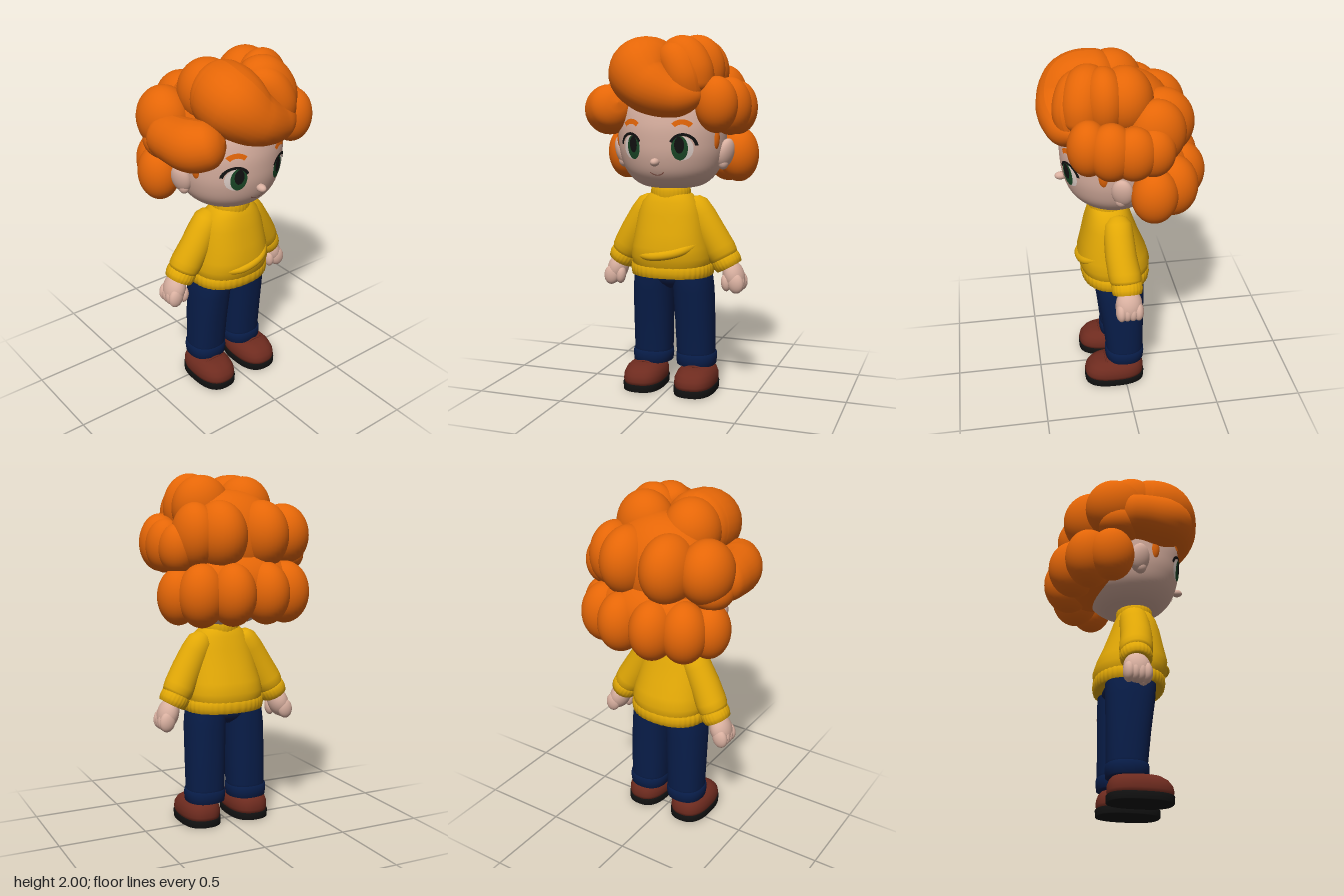
import * as THREE from 'three';

const mat = (name, color) => {
  const m = new THREE.MeshStandardMaterial({ color });
  m.name = name;
  return m;
};

export function createModel() {
  const model = new THREE.Group();
  const hair = mat('orange hair', 0xe56607);
  const skin = mat('skin', 0xd9b0a0);
  const wool = mat('yellow wool', 0xe2a806);
  const denim = mat('navy denim', 0x081d49);
  const leather = mat('brown leather', 0x6e2b1f);
  const black = mat('black', 0x121212);
  const green = mat('green iris', 0x1b4a28);
  const white = mat('eye white', 0xe6d6cf);
  const lip = mat('lip line', 0x96584a);

  const add = (name, geo, material, parent = model) => {
    const m = new THREE.Mesh(geo, material);
    m.name = name;
    parent.add(m);
    return m;
  };
  const group = name => {
    const g = new THREE.Group();
    g.name = name;
    model.add(g);
    return g;
  };
  const ball = (name, material, [x, y, z, rx, ry, rz], parent, rotY = 0, rotZ = 0) => {
    const m = add(name, new THREE.SphereGeometry(1, 32, 24), material, parent);
    m.position.set(x, y, z);
    m.scale.set(rx, ry, rz);
    m.rotation.set(0, rotY, rotZ);
  };

  // Closed skin through horizontal rings [cx, y, cz, rx, rz], listed bottom to top
  const loft = (rings, { power = 2, ripple = 0, n = 64 } = {}) => {
    const pos = [], idx = [];
    const bend = v => Math.sign(v) * Math.abs(v) ** (2 / power);
    for (const [cx, y, cz, rx, rz] of rings) {
      for (let i = 0; i < n; i++) {
        const a = i / n * Math.PI * 2, k = 1 + ripple * Math.cos(a * n / 4);
        pos.push(cx + rx * k * bend(Math.sin(a)), y, cz + rz * k * bend(Math.cos(a)));
      }
    }
    for (let j = 0; j < rings.length - 1; j++) {
      for (let i = 0; i < n; i++) {
        const a = j * n + i, b = j * n + (i + 1) % n;
        idx.push(a, b, b + n, a, b + n, a + n);
      }
    }
    const first = rings[0], last = rings[rings.length - 1], top = (rings.length - 1) * n;
    const c = rings.length * n;
    pos.push(first[0], first[1], first[2], last[0], last[1], last[2]);
    for (let i = 0; i < n; i++) {
      const k = (i + 1) % n;
      idx.push(c, k, i, c + 1, top + i, top + k);
    }
    const g = new THREE.BufferGeometry();
    g.setAttribute('position', new THREE.Float32BufferAttribute(pos, 3));
    g.setIndex(idx);
    g.computeVertexNormals();
    return g;
  };

  // Roll swept along points [x, y, z, radius], rounded at both ends
  const curl = pts => {
    const path = new THREE.CatmullRomCurve3(pts.map(p => new THREE.Vector3(p[0], p[1], p[2])));
    const radii = new THREE.SplineCurve(pts.map((p, i) => new THREE.Vector2(i, p[3])));
    const n = 48, sides = 28, g = new THREE.TubeGeometry(path, n, 1, sides);
    const p = g.attributes.position, v = new THREE.Vector3();
    for (let i = 0; i < p.count; i++) {
      const t = Math.floor(i / (sides + 1)) / n, c = path.getPointAt(t);
      const e = Math.min(1, Math.min(t, 1 - t) / 0.2);
      const r = radii.getPoint(path.getUtoTmapping(t)).y * Math.sqrt(1 - (1 - e) ** 2) + 0.0005;
      v.fromBufferAttribute(p, i).sub(c).multiplyScalar(r).add(c);
      p.setXYZ(i, v.x, v.y, v.z);
    }
    g.computeVertexNormals();
    return g;
  };

  // Head
  const head = group('head');
  const profile = new THREE.SplineCurve([[0, 1.163], [0.13, 1.169], [0.2, 1.195], [0.257, 1.255], [0.289, 1.335],
    [0.303, 1.42], [0.303, 1.53], [0.27, 1.65], [0.17, 1.75], [0, 1.79]].map(p => new THREE.Vector2(...p))).getPoints(60);
  profile[0].x = profile[60].x = 0;
  const skull = add('skull', new THREE.LatheGeometry(profile, 72), skin, head);
  skull.scale.z = 0.96;
  skull.position.z = 0.04;
  const faceZ = (x, y) => {
    const i = Math.max(1, profile.findIndex(p => p.y >= y)), a = profile[i - 1], b = profile[i];
    const r = a.x + (b.x - a.x) * (y - a.y) / (b.y - a.y);
    return 0.04 + 0.96 * Math.sqrt(Math.max(0, r * r - x * x));
  };
  // Thin painted patch laid on the curved face
  const patch = (name, material, geo, cx, cy, rx, ry, lift) => {
    const p = geo.attributes.position;
    for (let i = 0; i < p.count; i++) {
      const x = cx + p.getX(i) * rx, y = cy + p.getY(i) * ry;
      p.setXYZ(i, x, y, faceZ(x, y) + lift);
    }
    geo.computeVertexNormals();
    add(name, geo, material, head);
  };
  const disc = () => new THREE.RingGeometry(0, 1, 36, 4);
  const arc = (s, inner, from, to) =>
    new THREE.RingGeometry(inner, 1, 28, 2, s > 0 ? from : Math.PI - to, to - from);

  for (const s of [1, -1]) {
    patch('eyeWhite', white, disc(), s * 0.142, 1.4, 0.054, 0.064, 0.003);
    patch('iris', green, disc(), s * 0.13, 1.402, 0.041, 0.066, 0.005);
    patch('pupil', black, disc(), s * 0.13, 1.417, 0.024, 0.044, 0.007);
    patch('eyelash', black, arc(s, 0.79, 0.1, 2.75), s * 0.148, 1.408, 0.071, 0.073, 0.008);
    patch('eyebrow', hair, arc(s, 0.64, 0.75, 2.35), s * 0.143, 1.478, 0.072, 0.075, 0.008);
    ball('ear', skin, [s * 0.308, 1.36, 0.035, 0.038, 0.085, 0.06], head, s * -0.35, s * -0.25);
    ball('earLobe', skin, [s * 0.295, 1.31, 0.04, 0.03, 0.04, 0.035], head);
    ball('sideburn', hair, [s * 0.268, 1.45, 0.125, 0.03, 0.075, 0.035], head);
  }
  patch('mouth', lip, arc(1, 0.9, Math.PI * 1.2, Math.PI * 1.8), 0, 1.295, 0.05, 0.045, 0.004);
  ball('nose', skin, [0, 1.325, 0.33, 0.024, 0.022, 0.033], head);

  // Hair: scalp, rows of puffs and a swept fringe
  const hairdo = group('hair');
  ball('scalp', hair, [0, 1.62, -0.05, 0.32, 0.29, 0.25], hairdo);
  ball('napeHair', hair, [0, 1.4, -0.17, 0.33, 0.19, 0.21], hairdo);
  for (const s of [1, -1]) {
    ball('napePuff', hair, [s * 0.1, 1.36, -0.305, 0.125, 0.17, 0.145], hairdo);
    ball('napePuff', hair, [s * 0.25, 1.355, -0.24, 0.13, 0.172, 0.14], hairdo, s * -0.5);
    ball('napePuff', hair, [s * 0.34, 1.345, -0.13, 0.112, 0.155, 0.125], hairdo);
    ball('backPuff', hair, [s * 0.125, 1.665, -0.195, 0.145, 0.19, 0.18], hairdo);
  }
  const puffs = {
    leftSidePuff: [[0.25, 1.665, -0.15, 0.125, 0.18, 0.155], [0.335, 1.6, -0.12, 0.105, 0.135, 0.115],
      [0.365, 1.61, -0.015, 0.105, 0.145, 0.12], [0.35, 1.62, 0.1, 0.115, 0.155, 0.12],
      [0.305, 1.63, 0.21, 0.115, 0.15, 0.11]],
    rightSidePuff: [[-0.305, 1.66, -0.11, 0.145, 0.175, 0.165], [-0.33, 1.55, -0.08, 0.11, 0.1, 0.13]],
    crownPuff: [[-0.125, 1.81, 0.03, 0.16, 0.175, 0.165], [0.145, 1.81, 0, 0.165, 0.18, 0.15],
      [0.165, 1.815, 0.11, 0.155, 0.185, 0.115]],
  };
  for (const [name, list] of Object.entries(puffs)) for (const p of list) ball(name, hair, p, hairdo);
  add('crownCurl', curl([[0.02, 1.84, 0.15, 0.1], [0.11, 1.885, 0.19, 0.11],
    [0.175, 1.81, 0.22, 0.11], [0.19, 1.67, 0.22, 0.1]]), hair, hairdo);
  add('crownCurl', curl([[0.02, 1.83, 0.17, 0.09], [0.085, 1.86, 0.235, 0.1],
    [0.14, 1.77, 0.275, 0.1], [0.16, 1.64, 0.25, 0.09]]), hair, hairdo);
  add('rightSideCurl', curl([[-0.34, 1.6, -0.1, 0.12], [-0.35, 1.6, 0.05, 0.128],
    [-0.32, 1.6, 0.18, 0.138], [-0.22, 1.64, 0.3, 0.11]]), hair, hairdo);
  add('fringe', curl([[-0.11, 1.81, -0.02, 0.16], [-0.105, 1.81, 0.12, 0.185], [-0.105, 1.79, 0.23, 0.185],
    [-0.03, 1.72, 0.3, 0.148], [0.1, 1.67, 0.305, 0.11], [0.25, 1.68, 0.265, 0.075]]), hair, hairdo);

  // Sweater
  const sweater = group('sweater');
  add('torso', loft([[0, 0.7, 0.035, 0.2, 0.18], [0, 0.73, 0.037, 0.225, 0.195], [0, 0.78, 0.042, 0.232, 0.206],
    [0, 0.84, 0.052, 0.222, 0.198], [0, 0.92, 0.06, 0.205, 0.171], [0, 1.02, 0.068, 0.185, 0.142],
    [0, 1.09, 0.07, 0.158, 0.12], [0, 1.13, 0.07, 0.12, 0.1], [0, 1.15, 0.07, 0.08, 0.08]],
  { power: 2.3 }), wool, sweater);
  add('fold', curl([[0.2, 0.88, 0.12, 0.02], [0.1, 0.825, 0.22, 0.026], [-0.04, 0.795, 0.238, 0.024],
    [-0.16, 0.79, 0.19, 0.018]]), wool, sweater);
  add('hem', loft([[0, 0.668, 0.035, 0.22, 0.182], [0, 0.67, 0.035, 0.231, 0.193], [0, 0.7, 0.035, 0.236, 0.198],
    [0, 0.73, 0.035, 0.234, 0.197], [0, 0.75, 0.035, 0.215, 0.18]], { power: 2.3, ripple: 0.008, n: 160 }), wool, sweater);
  add('collar', loft([[0, 1.09, 0.07, 0.1, 0.095], [0, 1.11, 0.07, 0.113, 0.106], [0, 1.15, 0.07, 0.112, 0.105],
    [0, 1.175, 0.07, 0.106, 0.1], [0, 1.185, 0.07, 0.09, 0.085]], { ripple: 0.008, n: 120 }), wool, sweater);

  for (const s of [1, -1]) {
    // Arm, built hanging straight down and then swung outward
    const arm = group(s > 0 ? 'leftArm' : 'rightArm');
    arm.position.set(s * 0.14, 1.06, 0.035);
    arm.rotation.z = s * 0.505;
    add('sleeve', loft([[0, -0.34, -0.02, 0.075, 0.075], [0, -0.31, -0.02, 0.087, 0.09], [0, -0.27, -0.016, 0.09, 0.092],
      [0, -0.17, -0.004, 0.088, 0.088], [0, -0.06, 0, 0.083, 0.084], [0, 0.01, 0, 0.072, 0.077],
      [0, 0.045, 0, 0.045, 0.05], [0, 0.06, 0, 0.005, 0.005]]), wool, arm);
    add('cuff', loft([[0, -0.39, -0.025, 0.06, 0.065], [0, -0.388, -0.025, 0.076, 0.081], [0, -0.36, -0.025, 0.083, 0.088],
      [0, -0.33, -0.025, 0.082, 0.087], [0, -0.315, -0.025, 0.07, 0.075]], { ripple: 0.01, n: 96 }), wool, arm);

    const hand = group(s > 0 ? 'leftHand' : 'rightHand');
    ball('palm', skin, [s * 0.353, 0.67, 0.005, 0.06, 0.09, 0.074], hand, 0, s * 0.3);
    for (let i = 0; i < 4; i++) {
      ball('finger', skin, [s * 0.375, 0.635, 0.052 - i * 0.032, 0.045, 0.058, 0.031], hand, 0, s * 0.15);
    }
    ball('thumb', skin, [s * 0.318, 0.635, 0.045, 0.028, 0.05, 0.032], hand, 0, s * 0.1);

    // Trouser leg with turned-up cuff
    const leg = group(s > 0 ? 'leftLeg' : 'rightLeg');
    add('trouserLeg', loft([[s * 0.13, 0.16, -0.003, 0.104, 0.105], [s * 0.129, 0.22, -0.003, 0.11, 0.11],
      [s * 0.126, 0.4, 0.006, 0.112, 0.121], [s * 0.121, 0.58, 0.018, 0.113, 0.135],
      [s * 0.113, 0.67, 0.022, 0.11, 0.14], [s * 0.105, 0.73, 0.022, 0.1, 0.135]], { power: 2.3 }), denim, leg);
    add('trouserCuff', loft([[s * 0.132, 0.135, -0.003, 0.1, 0.1], [s * 0.132, 0.14, -0.003, 0.112, 0.112],
      [s * 0.132, 0.175, -0.003, 0.116, 0.116], [s * 0.132, 0.205, -0.003, 0.114, 0.114],
      [s * 0.132, 0.213, -0.003, 0.1, 0.102]], { power: 2.3 }), denim, leg);

    // Shoe
    const shoe = group(s > 0 ? 'leftShoe' : 'rightShoe');
    const x = s * 0.153;
    add('sole', loft([[x, 0, 0.062, 0.108, 0.17], [x, 0.002, 0.062, 0.115, 0.177], [x, 0.038, 0.062, 0.117, 0.179],
      [x, 0.042, 0.062, 0.11, 0.172]], { power: 2.6 }), black, shoe);
    add('upper', loft([[x, 0.035, 0.062, 0.108, 0.17], [x, 0.06, 0.063, 0.115, 0.176], [x, 0.09, 0.06, 0.113, 0.172],
      [x, 0.118, 0.054, 0.102, 0.156], [x, 0.138, 0.047, 0.08, 0.13], [x, 0.146, 0.035, 0.05, 0.09]],
    { power: 2.5 }), leather, shoe);
    const seam = add('shoeSeam', new THREE.TorusGeometry(0.085, 0.006, 8, 32, Math.PI), leather, shoe);
    seam.position.set(x, 0.065, 0.115);
    seam.scale.x = 1.22;
  }

  // Hips joining the trouser legs
  add('hips', loft([[0, 0.59, 0.02, 0.02, 0.07], [0, 0.62, 0.02, 0.08, 0.11], [0, 0.655, 0.022, 0.18, 0.13],
    [0, 0.72, 0.022, 0.2, 0.138]], { power: 2.3 }), denim);
  return model;
}
